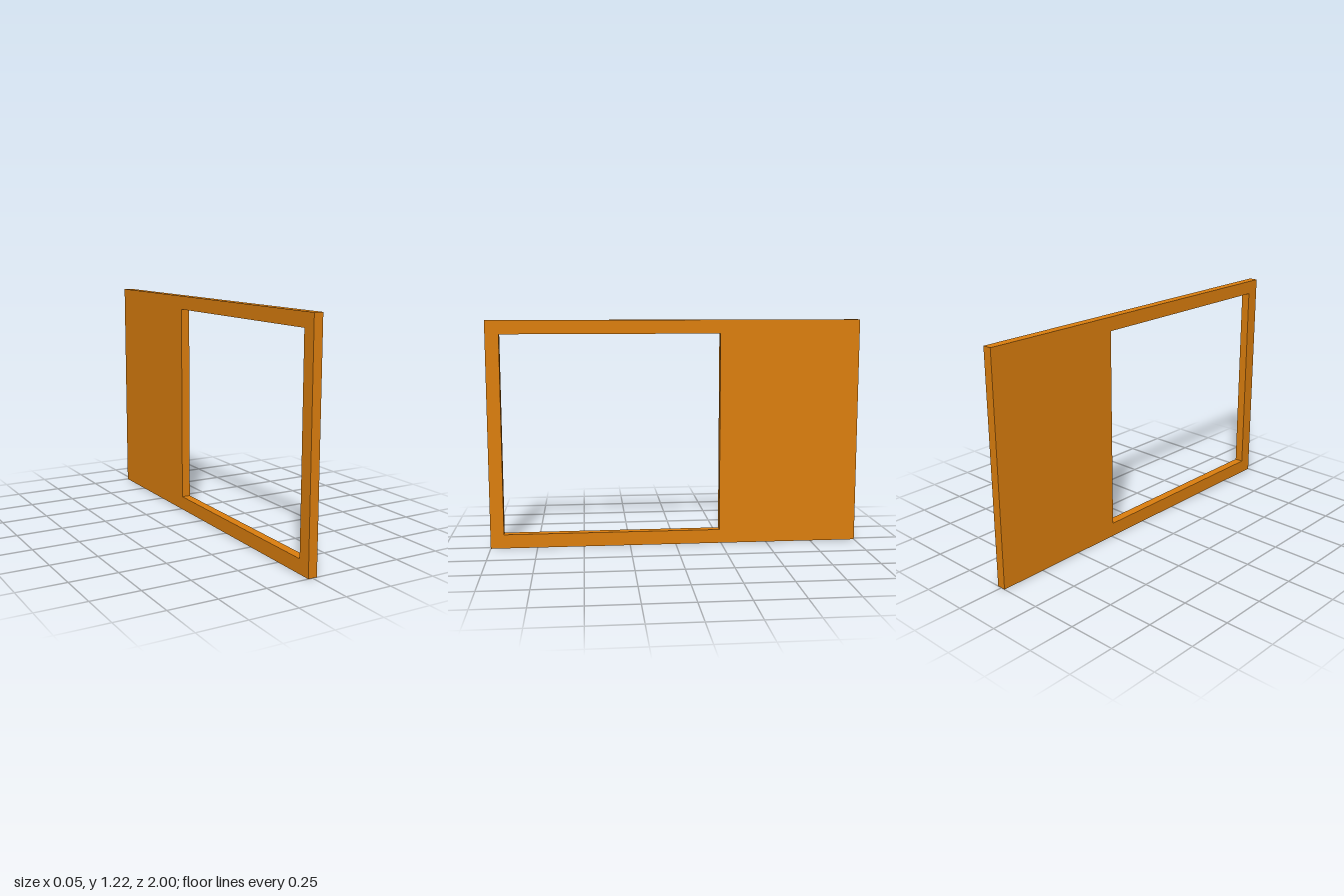
import * as THREE from 'three';

const LENGTH = 2, HEIGHT = 1.22, THICKNESS = 0.048;

// Closed rectangle outline between two corners
function rectangle(path, x0, y0, x1, y1) {
  path.moveTo(x0, y0);
  path.lineTo(x1, y0);
  path.lineTo(x1, y1);
  path.lineTo(x0, y1);
  path.closePath();
  return path;
}

export function createModel() {
  const group = new THREE.Group();
  group.name = 'windowPanel';

  // Upright panel with one large opening towards the front
  const outline = rectangle(new THREE.Shape(), -LENGTH / 2, 0, LENGTH / 2, HEIGHT);
  outline.holes.push(rectangle(new THREE.Path(), -0.24, 0.075, 0.928, 1.147));

  const geometry = new THREE.ExtrudeGeometry(outline, { depth: THICKNESS, bevelEnabled: false });
  geometry.translate(0, 0, -THICKNESS / 2);
  geometry.rotateY(-Math.PI / 2); // outline's x runs along z

  const panel = new THREE.Mesh(geometry, new THREE.MeshStandardMaterial({ color: 0xdd7f0e }));
  panel.name = 'panelWithOpening';
  group.add(panel);
  return group;
}
